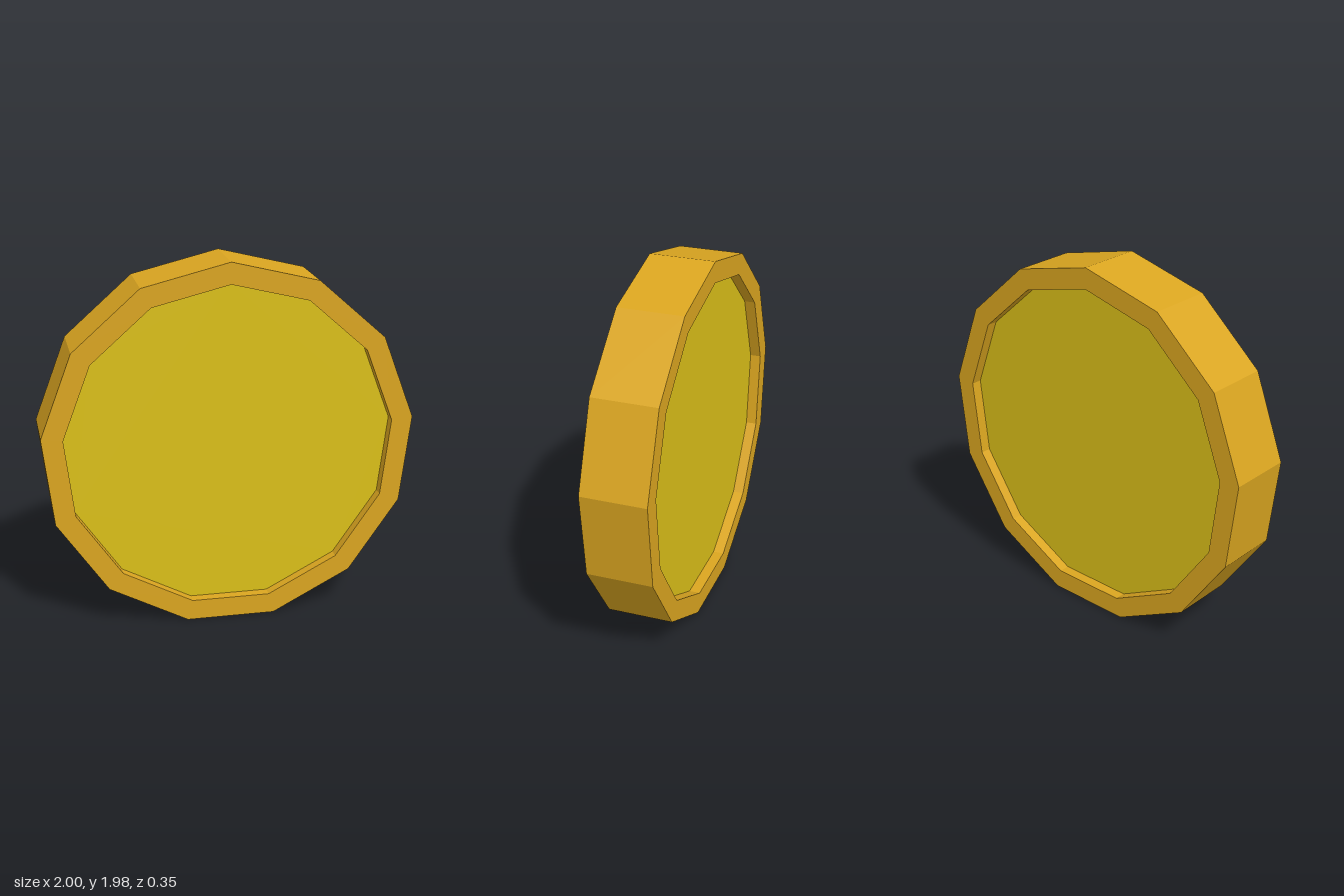
import * as THREE from 'three';

const SIDES = 13;
const OUTER = 1.007;
const INNER = 0.891;
const RIM_DEPTH = 0.354;
const FACE_DEPTH = 0.235;

// Regular polygon with one corner pointing straight up
function polygon(radius) {
  return Array.from({ length: SIDES }, (_, i) => {
    const a = Math.PI / 2 + (i * 2 * Math.PI) / SIDES;
    return new THREE.Vector2(radius * Math.cos(a), radius * Math.sin(a));
  });
}

// Flat-shaded slab of the given shape, centred on z = 0
function slab(name, shape, depth, color) {
  const geometry = new THREE.ExtrudeGeometry(shape, { depth, bevelEnabled: false });
  geometry.translate(0, 0, -depth / 2);
  const material = new THREE.MeshStandardMaterial({ color, flatShading: true });
  const mesh = new THREE.Mesh(geometry, material);
  mesh.name = name;
  return mesh;
}

export function createModel() {
  const coin = new THREE.Group();
  coin.name = 'coin';

  // Raised outer rim
  const ring = new THREE.Shape(polygon(OUTER));
  ring.holes.push(new THREE.Path(polygon(INNER)));
  coin.add(slab('rim', ring, RIM_DEPTH, 0xdaa520));

  // Disc recessed on both sides
  coin.add(slab('centerDisc', new THREE.Shape(polygon(INNER)), FACE_DEPTH, 0xdabf18));

  // Rest the bottom flat on the ground
  coin.position.y = OUTER * Math.cos(Math.PI / SIDES);
  const model = new THREE.Group();
  model.add(coin);
  return model;
}
